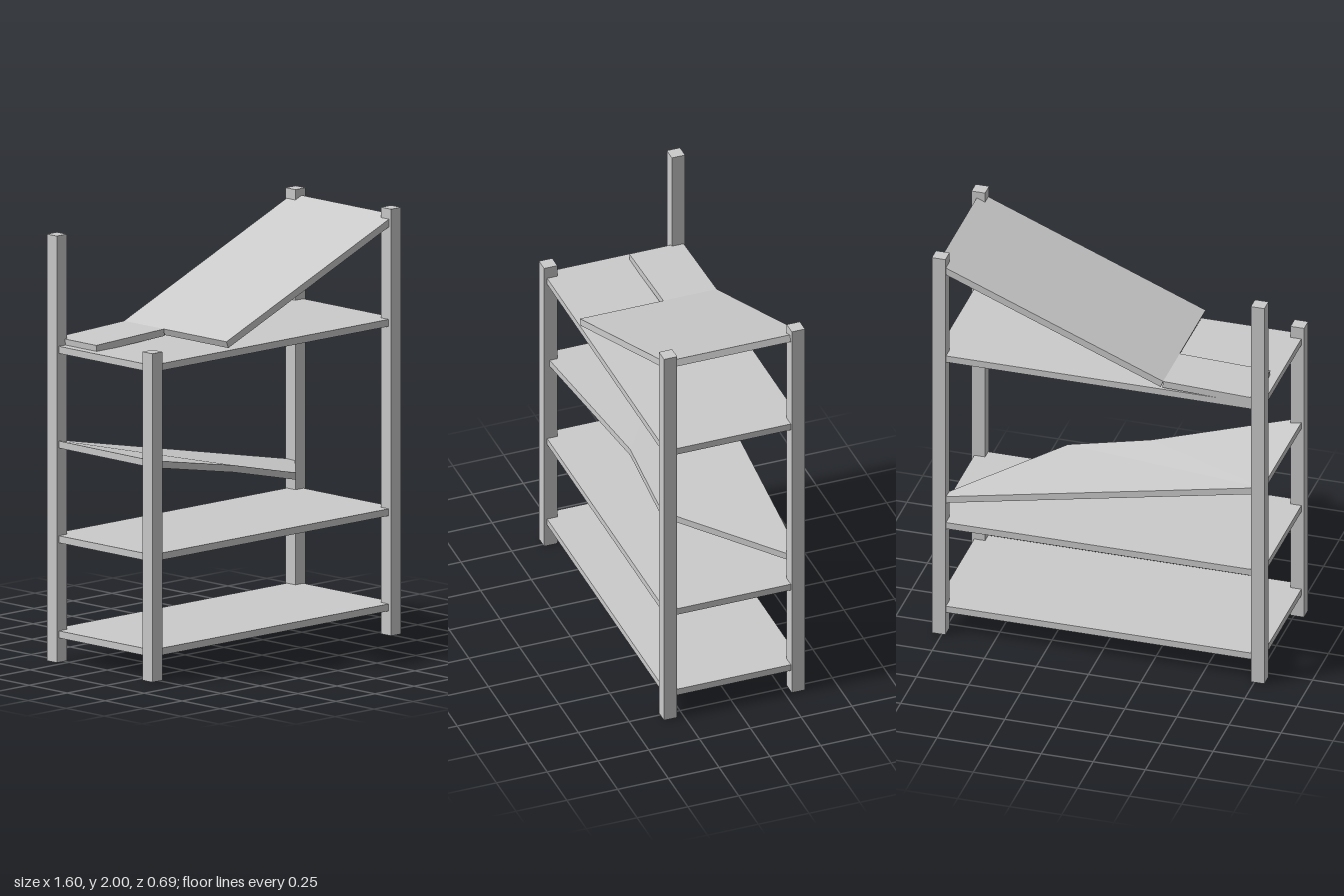
import * as THREE from 'three';

const material = new THREE.MeshStandardMaterial({ color: 0xcccccc, flatShading: true, side: THREE.DoubleSide });

function box(name, size, x, y, z) {
  const mesh = new THREE.Mesh(new THREE.BoxGeometry(...size), material);
  mesh.name = name;
  mesh.position.set(x, y, z);
  return mesh;
}

// Board from its top corners (counter-clockwise from above), thickened along "drop"
function board(name, corners, drop) {
  const top = corners.map((c) => new THREE.Vector3(...c));
  const under = top.map((p) => p.clone().add(drop));
  const points = [];
  for (let i = 0; i < top.length; i++) {
    const j = (i + 1) % top.length;
    if (i > 0 && j > 0) {
      points.push(top[0], top[i], top[j], under[0], under[j], under[i]);
    }
    points.push(top[i], under[i], under[j], top[i], under[j], top[j]);
  }
  const geometry = new THREE.BufferGeometry().setFromPoints(points);
  geometry.computeVertexNormals();
  const mesh = new THREE.Mesh(geometry, material);
  mesh.name = name;
  return mesh;
}

export function createModel() {
  const rack = new THREE.Group();
  rack.name = 'brokenShelf';

  // Corner posts; the front right one is snapped short
  for (const sx of [-1, 1]) {
    for (const sz of [-1, 1]) {
      const h = sx < 0 && sz > 0 ? 1.54 : 2;
      const name = `${sz > 0 ? 'front' : 'back'}${sx > 0 ? 'Left' : 'Right'}Post`;
      rack.add(box(name, [0.065, h, 0.065], sx * 0.7655, h / 2, sz * 0.3145));
    }
  }

  // Level shelves
  [0.131, 0.577, 1.465].forEach((y, i) => {
    rack.add(box(`levelShelf${i + 1}`, [1.57, 0.033, 0.67], 0, y, -0.003));
  });

  // Sagging middle shelf with its front left corner broken away
  rack.add(board('brokenMiddleShelf', [
    [-0.785, 1.038, -0.338],
    [-0.785, 1.035, 0.332],
    [-0.1, 0.892, 0.167],
    [0.3, 0.8, 0.165],
    [0.785, 0.721, -0.338],
  ], new THREE.Vector3(0, -0.033, 0)));

  // Fallen top shelf: sloping panel and the narrow strip left at its low end
  const back = -0.34, front = 0.334, split = -0.077;
  rack.add(board('slopingTopPanel', [
    [-0.31, 1.525, back],
    [-0.31, 1.525, front],
    [0.773, 1.968, front],
    [0.773, 1.968, back],
  ], new THREE.Vector3(0.0125, -0.031, 0)));
  rack.add(board('topPanelStrip', [
    [-0.745, 1.51, back],
    [-0.745, 1.51, split],
    [-0.31, 1.525, split],
    [-0.31, 1.525, back],
  ], new THREE.Vector3(0.003, -0.033, 0)));

  return rack;
}
